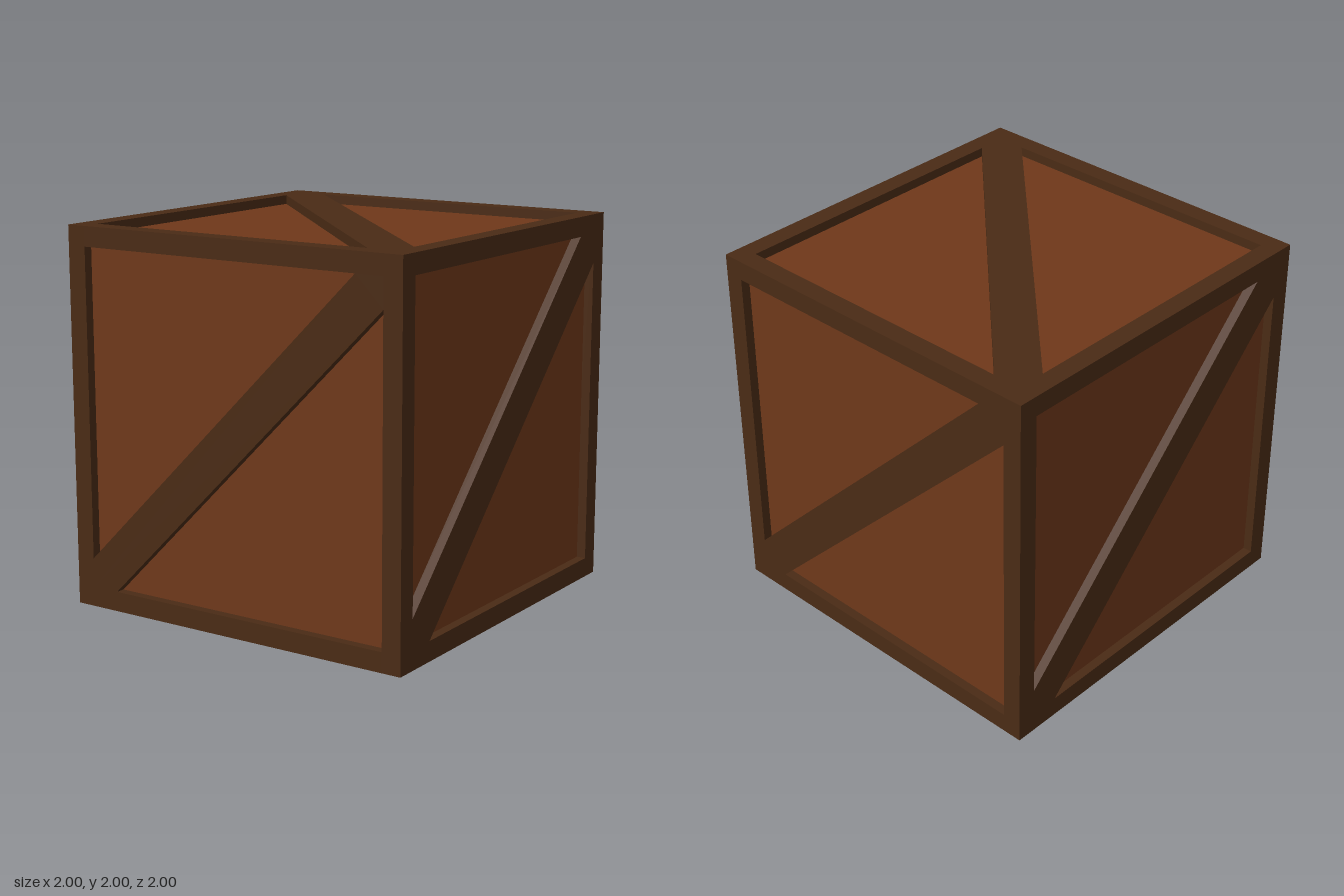
import * as THREE from 'three';

const HALF = 1;        // half of the crate's side
const BEAM = 0.105;    // width of the edge beams
const RECESS = 0.05;   // how far the panels sit behind the frame
const BRACE = 0.155;   // brace half-width measured along a beam

export function createModel() {
  const crate = new THREE.Group();
  crate.name = 'crate';
  const frameMat = new THREE.MeshStandardMaterial({ color: 0x4a2b15 });
  const panelMat = new THREE.MeshStandardMaterial({ color: 0x6f381a });

  const body = new THREE.Group();
  body.name = 'body';
  body.position.y = HALF;
  crate.add(body);

  const add = (name, geometry, material) => {
    const mesh = new THREE.Mesh(geometry, material);
    mesh.name = name;
    body.add(mesh);
    return mesh;
  };

  // Recessed panels: one inner box
  const core = 2 * (HALF - RECESS);
  add('panels', new THREE.BoxGeometry(core, core, core), panelMat);

  // Edge beams: full-height posts, with rails fitted between them
  const inner = HALF - BEAM;
  const mid = HALF - BEAM / 2;
  const post = new THREE.BoxGeometry(BEAM, 2 * HALF, BEAM);
  const railX = new THREE.BoxGeometry(2 * inner, BEAM, BEAM);
  const railZ = new THREE.BoxGeometry(BEAM, BEAM, 2 * inner);
  for (const a of [-mid, mid]) {
    for (const b of [-mid, mid]) {
      add('cornerPost', post, frameMat).position.set(a, 0, b);
      add('crossRail', railX, frameMat).position.set(0, a, b);
      add('sideRail', railZ, frameMat).position.set(a, b, 0);
    }
  }

  // Diagonal brace, its ends cut to fit the frame's inner corners
  const shape = new THREE.Shape([
    [-inner, -inner], [-inner + BRACE, -inner], [inner, inner - BRACE],
    [inner, inner], [inner - BRACE, inner], [-inner, -inner + BRACE],
  ].map(([x, y]) => new THREE.Vector2(x, y)));
  const brace = new THREE.ExtrudeGeometry(shape, { depth: RECESS, bevelEnabled: false });
  brace.translate(0, 0, HALF - RECESS);

  // One brace per face: four sides, then top and bottom
  const q = Math.PI / 2;
  const faces = {
    front: [0, 0, 0], left: [0, q, 0], back: [0, 2 * q, 0], right: [0, -q, 0],
    top: [-q, 0, q], bottom: [q, 0, q],
  };
  for (const [face, turn] of Object.entries(faces)) {
    add(`${face}Brace`, brace, frameMat).rotation.set(...turn);
  }

  return crate;
}
